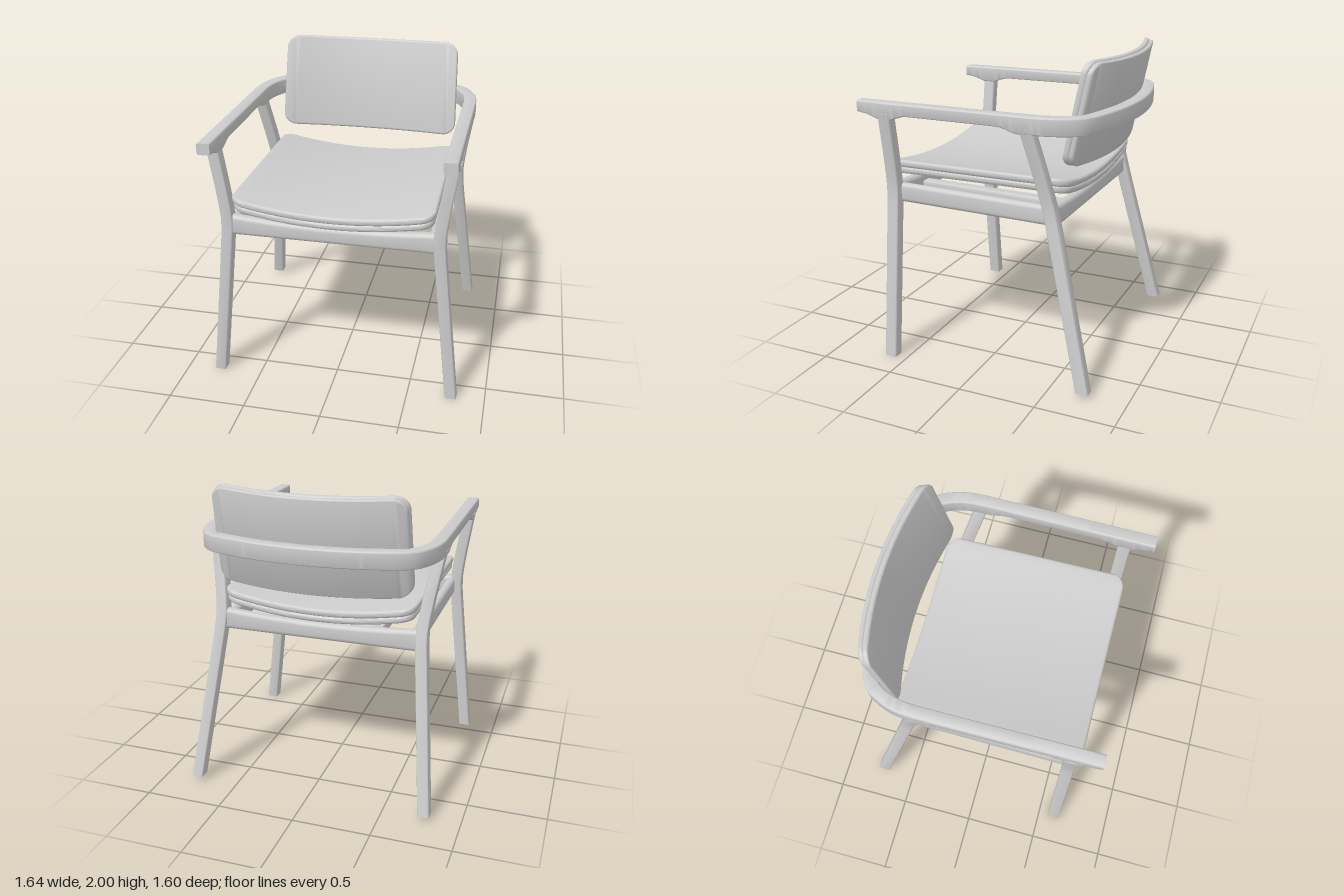
import * as THREE from 'three';
import { toCreasedNormals } from 'three/addons/utils/BufferGeometryUtils.js';

const V = (x, y, z) => new THREE.Vector3(x, y, z);

// Outline of a rounded rectangle with half sizes a, b
function ring(a, b, r, n = 4) {
  r = Math.min(r, a * 0.98, b * 0.98);
  const pts = [];
  [[1, 1], [-1, 1], [-1, -1], [1, -1]].forEach(([sx, sy], q) => {
    for (let i = 0; i <= n; i++) {
      const t = (q + i / n) * Math.PI / 2;
      pts.push([sx * (a - r) + r * Math.cos(t), sy * (b - r) + r * Math.sin(t)]);
    }
  });
  return pts;
}

// Solid through rounded sections {c: centre, u, v: unit axes, a, b: half sizes, r: corner radius}
function loft(sections, bend) {
  const pos = [], idx = [], m = ring(1, 1, 0.1).length, last = sections.length - 1;
  const along = sections[last].c.clone().sub(sections[0].c);
  const flip = sections[0].t ? sections[0].t.dot(sections[0].u.clone().cross(sections[0].v)) < 0
    : along.dot(sections[0].u.clone().cross(sections[0].v)) < 0;
  const add = p => { if (bend) bend(p); pos.push(p.x, p.y, p.z); };
  for (const s of sections) {
    for (const [x, y] of ring(s.a, s.b, s.r)) {
      add(s.c.clone().addScaledVector(s.u, flip ? -x : x).addScaledVector(s.v, y));
    }
  }
  add(sections[0].c.clone());
  add(sections[last].c.clone());
  const c0 = m * (last + 1);
  for (let j = 0; j < m; j++) {
    const k = (j + 1) % m;
    for (let i = 0; i < last; i++) {
      const a = i * m + j, b = i * m + k;
      idx.push(a, b, b + m, a, b + m, a + m);
    }
    idx.push(c0, k, j, c0 + 1, last * m + j, last * m + k);
  }
  const g = new THREE.BufferGeometry();
  g.setAttribute('position', new THREE.Float32BufferAttribute(pos, 3));
  g.setIndex(idx);
  return toCreasedNormals(g, 0.7);
}

// Curved panel with rounded corners and edges: half width W, half height H, half thickness T
function panel(W, H, T, zOff, sag, taper, inset = 0) {
  W -= inset; H -= inset;
  const e = T * 0.8, r = 0.09, ds = [0, 0.08 * e, 0.3 * e, 0.6 * e, e];
  for (let k = 3; k <= 8; k++) ds.push(r * (1 - Math.cos(k / 8 * Math.PI / 2)));
  ds.sort((p, q) => p - q);
  const xs = ds.map(d => [-W + d, d]);
  for (let i = 1; i < 28; i++) xs.push([(W - r) * (i / 14 - 1), r]);
  [...ds].reverse().forEach(d => xs.push([W - d, d]));
  const cut = (rad, d) => d >= rad ? 0 : rad - Math.sqrt(rad * rad - (rad - d) ** 2);
  return loft(xs.map(([x, d]) => ({
    c: V(x, 0, zOff), u: V(0, 1, 0), v: V(0, 0, 1),
    a: H - cut(r, d), b: T - cut(e, d), r: e,
  })), p => {
    p.z += sag * (p.x / W) ** 2;
    p.x *= 1 + taper * p.y;
  });
}

// Piecewise linear lookup in [[key, value], ...] with falling keys
function lookup(table, k) {
  for (let i = 1; i < table.length; i++) {
    const [k0, v0] = table[i - 1], [k1, v1] = table[i];
    if (k >= k1) return v0 + (v1 - v0) * Math.min(1, Math.max(0, (k0 - k) / (k0 - k1)));
  }
  return table[table.length - 1][1];
}

export function createModel() {
  const grey = new THREE.MeshStandardMaterial({ color: 0xcccccc });
  grey.name = 'light grey';
  const model = new THREE.Group();
  model.name = 'armchair';
  const add = (name, geo, parent = model) => {
    const mesh = new THREE.Mesh(geo, grey);
    mesh.name = name;
    parent.add(mesh);
    return mesh;
  };

  // Legs lean inward to the seat, then bend out to the arms
  const bendX = [[1.62, 0.732], [1.35, 0.69], [1.22, 0.673], [1.14, 0.666], [1.06, 0.668], [0.96, 0.678], [0, 0.782]];
  const leg = (side, y0, zAt, dx) => loft([...bendX].reverse().map(([y, x]) => {
    const yy = Math.max(y, y0);
    return { c: V(side * (x - dx * (1 - yy / 1.62)), yy, zAt(yy)), u: V(1, 0, 0), v: V(0, 0, 1), a: 0.037, b: 0.041, r: 0.01 };
  }));
  for (const [side, tag] of [[1, 'left'], [-1, 'right']]) {
    add(tag + 'FrontLeg', leg(side, 0, () => 0.612, 0));
    add(tag + 'RearLeg', leg(side, 0.03, y => -0.725 + (y - 0.03) * 0.246, 0.012));

    // Side rail and the stretcher under the seat
    add(tag + 'SideRail', loft([[0.6, 1.092, 0.628], [-0.46, 1.068, 0.612]].map(([z, y, x]) => (
      { c: V(side * x, y, z), u: V(1, 0, 0), v: V(0, 1, 0), a: 0.03, b: 0.062, r: 0.028 }))));
    add(tag + 'Stretcher', loft([[0.6, 1.06], [-0.46, 1.045]].map(([z, y]) => (
      { c: V(side * 0.34, y, z), u: V(1, 0, 0), v: V(0, 1, 0), a: 0.04, b: 0.035, r: 0.01 }))));
  }

  // Cross rails with a top that dips under the seat
  const crossRail = (z, bottom, top) => {
    const sections = [];
    for (let i = 0; i <= 12; i++) {
      const f = i / 6 - 1, h = top - 0.03 * (1 - f * f);
      sections.push({ c: V(f * 0.65, (bottom + h) / 2, z), u: V(0, 0, 1), v: V(0, 1, 0), a: 0.035, b: (h - bottom) / 2, r: 0.028 });
    }
    return loft(sections);
  };
  add('frontRail', crossRail(0.61, 1.03, 1.165));
  add('rearRail', crossRail(-0.46, 1.005, 1.145));

  // Armrests joined by the bent bar behind the back
  const half = [[0.722, 0.8], [0.723, 0.5], [0.725, 0.1], [0.726, -0.25], [0.724, -0.38], [0.711, -0.47],
    [0.683, -0.55], [0.64, -0.62], [0.58, -0.66], [0.45, -0.699], [0.25, -0.738]];
  const path = new THREE.CatmullRomCurve3([
    ...half.map(([x, z]) => V(x, 0, z)), V(0, 0, -0.755),
    ...[...half].reverse().map(([x, z]) => V(-x, 0, z)),
  ], false, 'centripetal');
  const underside = [[0.8, 1.62], [0.73, 1.61], [0.655, 1.583], [0.56, 1.583], [0.52, 1.6], [0.47, 1.615],
    [-0.16, 1.615], [-0.21, 1.603], [-0.27, 1.583], [-0.8, 1.583]];
  const top = 1.692, N = 200, armSections = [];
  for (let i = 0; i <= N; i++) {
    const c = path.getPointAt(i / N), t = path.getTangentAt(i / N);
    const low = lookup(underside, c.z);
    c.y = (top + low) / 2;
    armSections.push({ c, t, u: V(t.z, 0, -t.x), v: V(0, 1, 0), a: 0.041, b: (top - low) / 2, r: 0.012 });
  }
  add('armAndBackBar', loft(armSections));

  // Seat: cushion over a thin shell, both dished
  const seat = new THREE.Group();
  seat.name = 'seat';
  seat.position.set(0, 1.185, 0.068);
  seat.rotation.x = -Math.PI / 2;
  add('seatCushion', panel(0.63, 0.612, 0.023, 0.022, 0.072, -0.016), seat);
  add('seatShell', panel(0.63, 0.612, 0.022, -0.021, 0.072, -0.016, 0.006), seat);
  model.add(seat);

  // Backrest: padded front over a thin shell, curved and tilted back
  const back = new THREE.Group();
  back.name = 'backrest';
  back.position.set(0, 1.668, -0.675);
  back.rotation.x = -0.2;
  add('backCushion', panel(0.613, 0.32, 0.019, 0.014, 0.09, -0.045), back);
  add('backShell', panel(0.613, 0.32, 0.016, -0.018, 0.09, -0.045, 0.005), back);
  model.add(back);

  return model;
}
